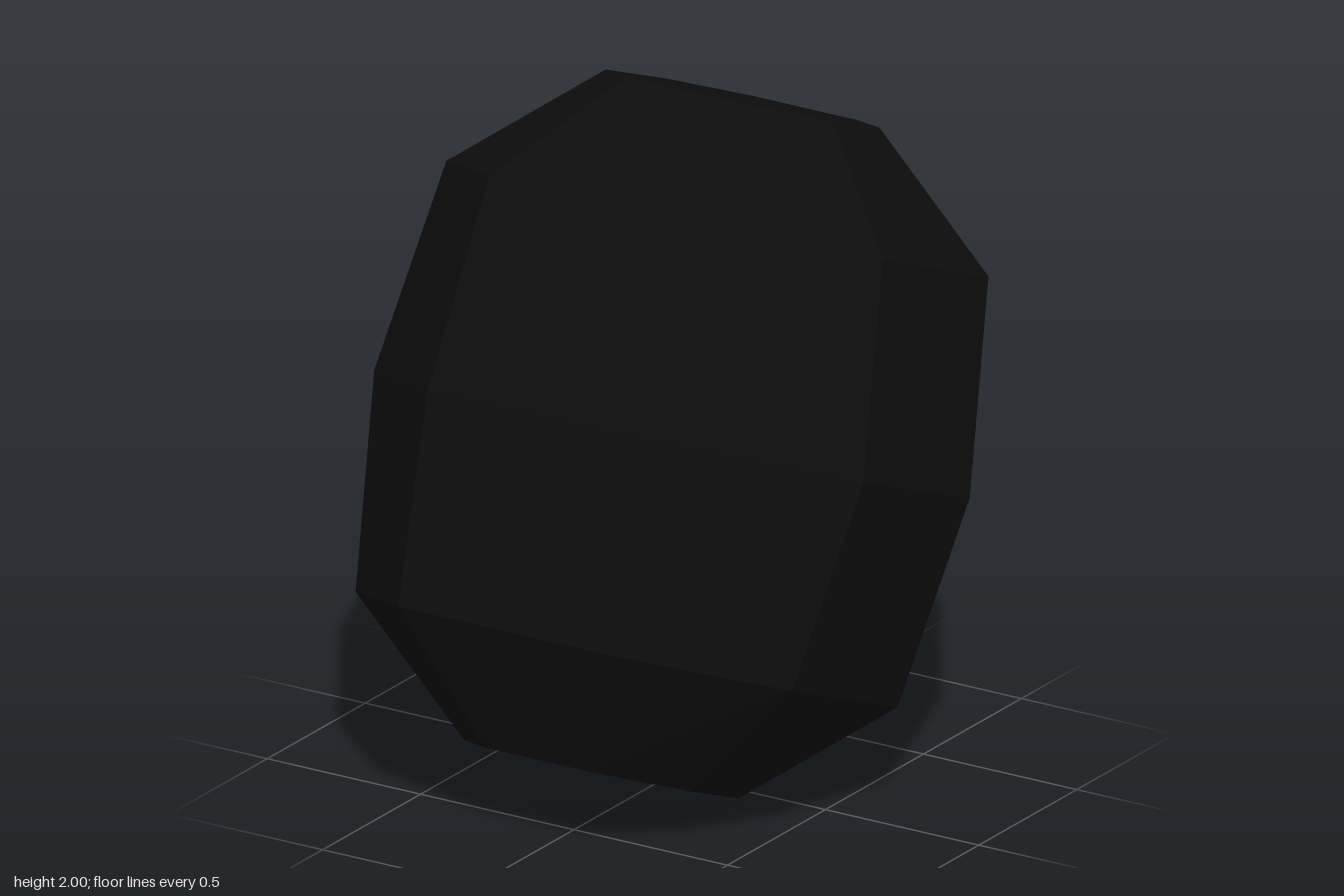
import * as THREE from 'three';

// Horizontal octagonal rings: height, half extent, corner offset in x, corner offset in z, shorter front corner on +x
const RINGS = [
  [-0.942, 0.345, 0.172, 0.172, 0.1],
  [-0.605, 0.684, 0.34, 0.338, 0.245],
  [0, 0.771, 0.34, 0.338, 0.25],
  [0.605, 0.684, 0.34, 0.338, 0.245],
  [0.942, 0.345, 0.172, 0.172, 0.09],
];

function ringPoints([y, r, cx, cz, front]) {
  return [[-cx, r], [cx, r], [r, front], [r, -cz], [cx, -r], [-cx, -r], [-r, -cz], [-r, cz]]
    .map(([x, z]) => [x, y, z]);
}

function facetedGeometry() {
  const rings = RINGS.map(ringPoints);
  const n = rings[0].length;
  const last = rings.length - 1;
  const positions = [];
  const tri = (a, b, c) => positions.push(...a, ...b, ...c);
  for (let i = 0; i < n; i++) {
    const j = (i + 1) % n;
    // side facets
    for (let k = 0; k < last; k++) {
      tri(rings[k][i], rings[k][j], rings[k + 1][j]);
      tri(rings[k][i], rings[k + 1][j], rings[k + 1][i]);
    }
    // flat end caps
    tri([0, RINGS[last][0], 0], rings[last][i], rings[last][j]);
    tri([0, RINGS[0][0], 0], rings[0][j], rings[0][i]);
  }
  const geometry = new THREE.BufferGeometry();
  geometry.setAttribute('position', new THREE.Float32BufferAttribute(positions, 3));
  geometry.computeVertexNormals();
  return geometry;
}

export function createModel() {
  const group = new THREE.Group();
  const black = new THREE.MeshStandardMaterial({ color: 0x0d0d0d, flatShading: true });
  black.name = 'black';

  // Single faceted body, leaning backwards
  const body = new THREE.Mesh(facetedGeometry(), black);
  body.name = 'facetedBody';
  body.rotation.x = -Math.PI / 8;
  body.position.y = 1;
  group.add(body);
  return group;
}
